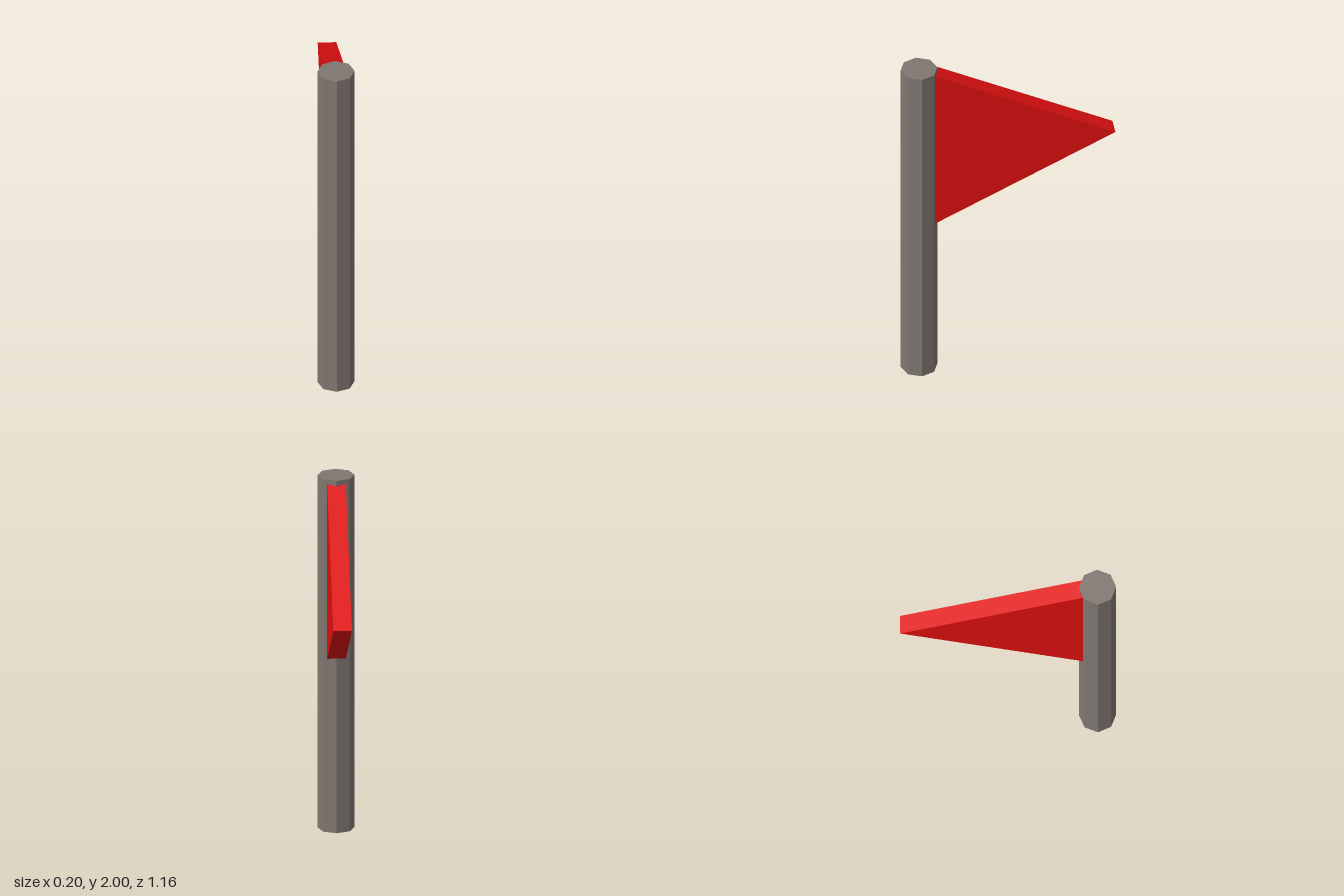
import * as THREE from 'three';

export function createModel() {
  const model = new THREE.Group();
  const poleGrey = new THREE.MeshStandardMaterial({ color: 0x807771, flatShading: true });
  poleGrey.name = 'poleGrey';
  const flagRed = new THREE.MeshStandardMaterial({ color: 0xe01010, flatShading: true });
  flagRed.name = 'flagRed';

  // Eight-sided pole
  const pole = new THREE.Mesh(new THREE.CylinderGeometry(0.1, 0.1, 2, 8), poleGrey);
  pole.name = 'pole';
  pole.position.set(0, 1, 0.48);
  model.add(pole);

  // Thick triangular pennant, its base sunk into the pole
  const baseZ = 0.42, tipZ = -0.58, midY = 1.48, halfHeight = 0.507, thickness = 0.1;
  const outline = new THREE.Shape([
    new THREE.Vector2(-baseZ, midY - halfHeight),
    new THREE.Vector2(-tipZ, midY),
    new THREE.Vector2(-baseZ, midY + halfHeight),
  ]);
  const pennant = new THREE.ExtrudeGeometry(outline, { depth: thickness, bevelEnabled: false });
  pennant.translate(0, 0, -thickness / 2);
  pennant.rotateY(Math.PI / 2); // outline x becomes -z
  const flag = new THREE.Mesh(pennant, flagRed);
  flag.name = 'flag';
  model.add(flag);

  return model;
}
